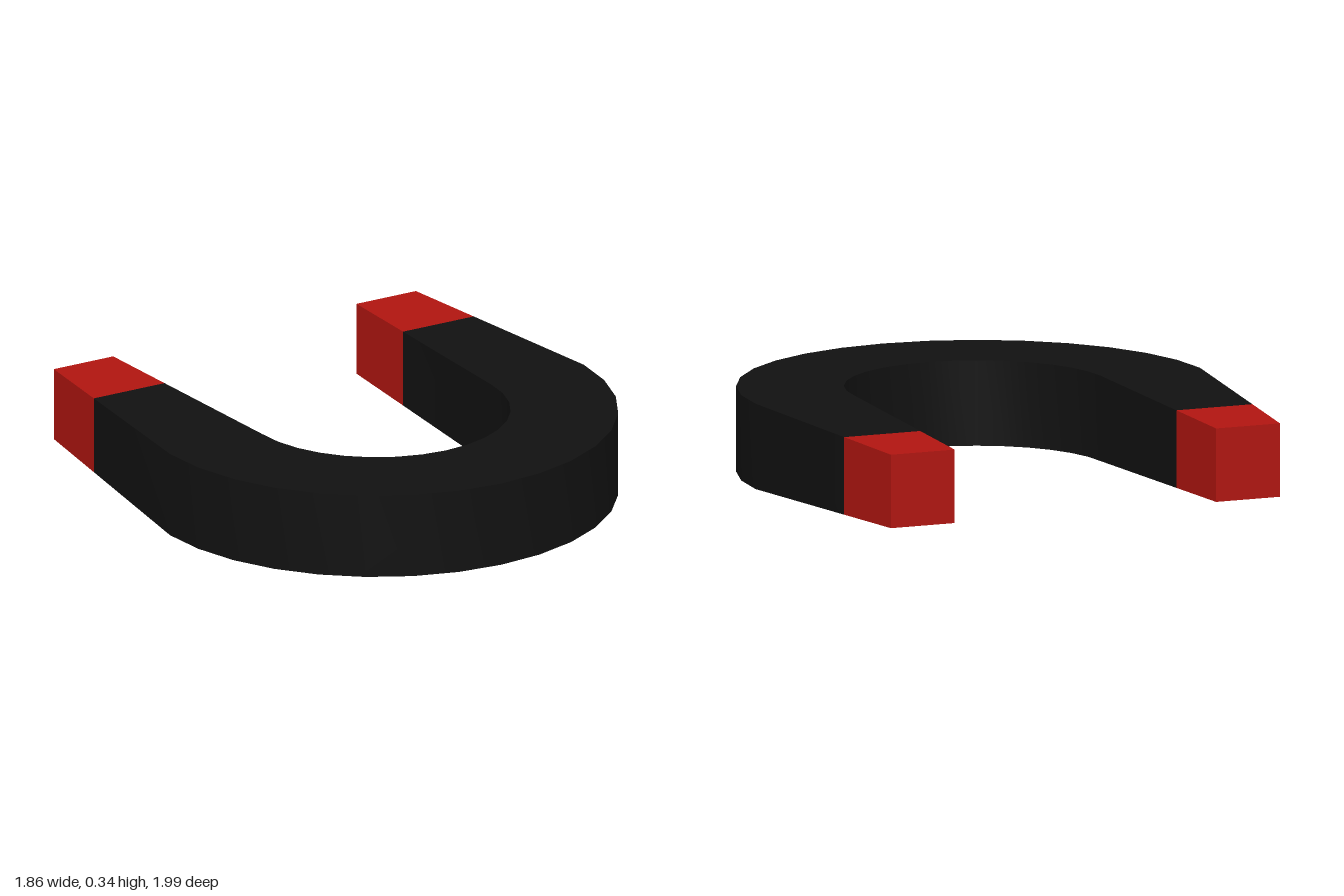
import * as THREE from 'three';
import { toCreasedNormals } from 'three/addons/utils/BufferGeometryUtils.js';

const BEND_Z = 0.06, JOINT_Z = -0.635, END_Z = -1;
const INNER = 0.515, OUTER = 0.93, HEIGHT = 0.335, SEGMENTS = 16;

// Four corners: inner bottom, outer bottom, outer top, inner top
function section(inner, outer, y0, y1) {
  return [[inner, y0], [outer, y0], [outer, y1], [inner, y1]];
}

// Cross-section of a tapering leg at depth z, on side +1 or -1
function legSection(z, side) {
  const t = (BEND_Z - z) / (BEND_Z - END_Z);
  const s = section(
    THREE.MathUtils.lerp(INNER, 0.547, t), THREE.MathUtils.lerp(OUTER, 0.814, t),
    0.026 * t, HEIGHT - 0.021 * t);
  return s.map(([x, y]) => new THREE.Vector3(side * x, y, z));
}

// Cross-section of the round bend at an angle from the +x side
function bendSection(angle) {
  return section(INNER, OUTER, 0, HEIGHT).map(([r, y]) =>
    new THREE.Vector3(r * Math.cos(angle), y, BEND_Z + r * Math.sin(angle)));
}

// Skin a row of four-cornered sections, optionally closing the ends
function sweep(sections, capStart, capEnd) {
  const points = [];
  const quad = (a, b, c, d) => points.push(a, b, c, a, c, d);
  for (let s = 0; s < sections.length - 1; s++) {
    const p = sections[s], q = sections[s + 1];
    for (let i = 0; i < 4; i++) {
      const j = (i + 1) % 4;
      quad(p[i], p[j], q[j], q[i]);
    }
  }
  if (capStart) quad(...[...sections[0]].reverse());
  if (capEnd) quad(...sections[sections.length - 1]);
  const geometry = new THREE.BufferGeometry().setFromPoints(points);
  return toCreasedNormals(geometry, 0.5);
}

export function createModel() {
  const group = new THREE.Group();
  group.name = 'horseshoeMagnet';
  const black = new THREE.MeshStandardMaterial({ color: 0x111111 });
  const red = new THREE.MeshStandardMaterial({ color: 0xb01510 });

  const add = (name, geometry, material) => {
    const mesh = new THREE.Mesh(geometry, material);
    mesh.name = name;
    group.add(mesh);
  };

  // Black body: left leg, half-round bend, right leg
  const body = [legSection(JOINT_Z, 1)];
  for (let i = 0; i <= SEGMENTS; i++) body.push(bendSection(Math.PI * i / SEGMENTS));
  body.push(legSection(JOINT_Z, -1));
  add('body', sweep(body, false, false), black);

  // Red pole tips
  add('leftPole', sweep([legSection(END_Z, 1), legSection(JOINT_Z, 1)], true, false), red);
  add('rightPole', sweep([legSection(JOINT_Z, -1), legSection(END_Z, -1)], false, true), red);

  return group;
}
